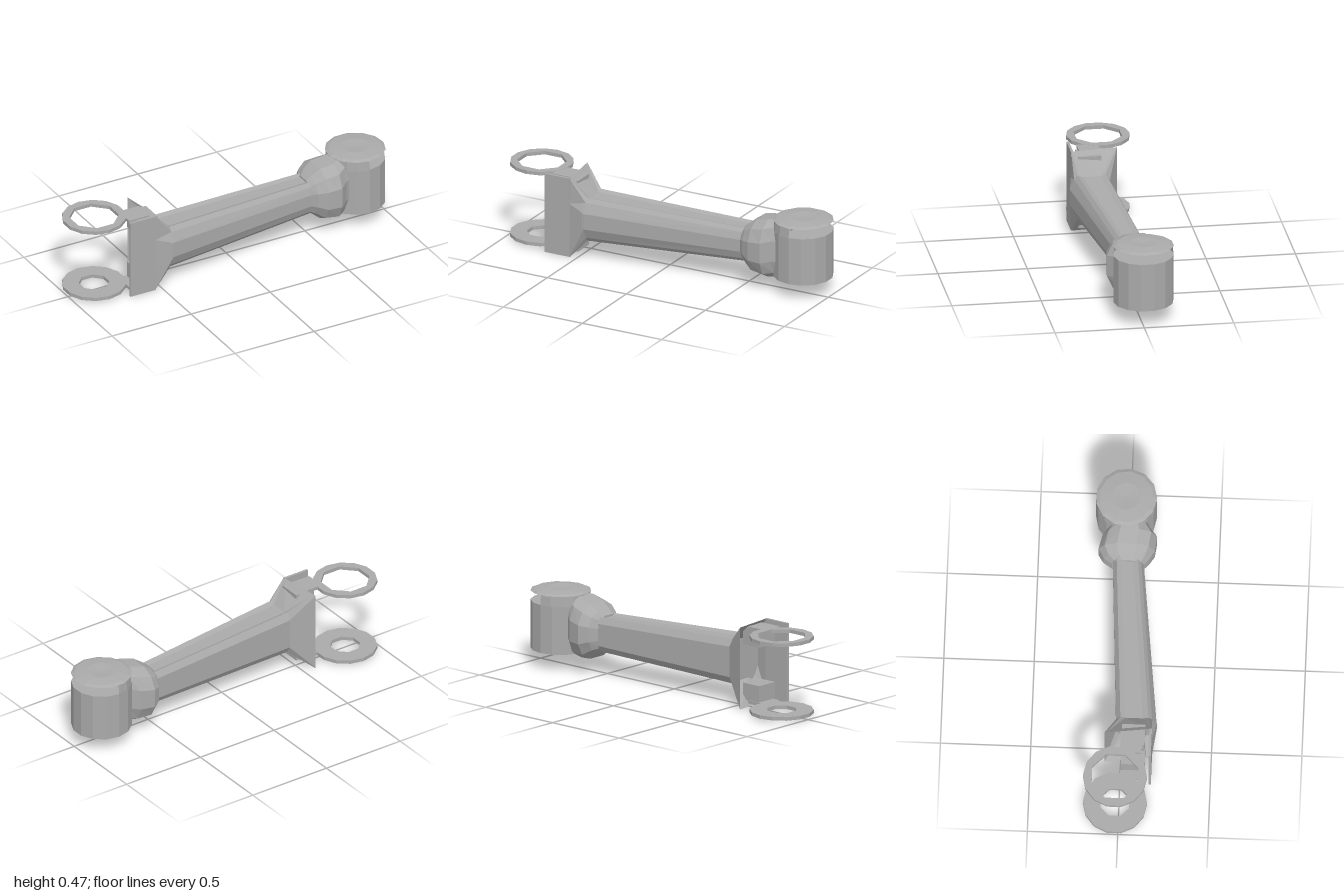
import * as THREE from 'three';

const steel = new THREE.MeshStandardMaterial({ color: 0xaaaaaa, side: THREE.DoubleSide, flatShading: true });
steel.name = 'steel grey';

function add(group, name, geometry, x = 0, y = 0, z = 0) {
  const mesh = new THREE.Mesh(geometry, steel);
  mesh.name = name;
  mesh.position.set(x, y, z);
  group.add(mesh);
  return mesh;
}

// Skin a list of sections; each section is a loop of [x, y, z] points.
function loft(sections, capStart, capEnd) {
  const n = sections[0].length, pos = sections.flat(2), index = [];
  for (let s = 0; s < sections.length - 1; s++) {
    for (let i = 0; i < n; i++) {
      const a = s * n + i, b = s * n + (i + 1) % n;
      index.push(a, b, a + n, b, b + n, a + n);
    }
  }
  const cap = (s, flip) => {
    const c = pos.length / 3;
    for (let k = 0; k < 3; k++) pos.push(sections[s].reduce((t, p) => t + p[k], 0) / n);
    for (let i = 0; i < n; i++) {
      const a = s * n + i, b = s * n + (i + 1) % n;
      index.push(...(flip ? [c, b, a] : [c, a, b]));
    }
  };
  if (capStart) cap(0, true);
  if (capEnd) cap(sections.length - 1, false);
  const g = new THREE.BufferGeometry();
  g.setAttribute('position', new THREE.Float32BufferAttribute(pos, 3));
  g.setIndex(index);
  const flat = g.toNonIndexed();
  flat.computeVertexNormals();
  return flat;
}

// Bevelled beam section with a shallow groove on top and underneath and a bowed front.
function beamSection(x, zBack, zFront, y0, y1, bevel, groove, bow) {
  const h = y1 - y0, half = [
    [zFront, y1 - h * 0.32], [zFront - bow, y1 - bevel * 0.6], [zFront - bow - bevel * 0.5, y1],
    [zFront - bow - bevel - 0.01, y1 - groove], [zBack + bevel + 0.01, y1 - groove],
    [zBack + bevel * 0.6, y1], [zBack, y1 - bevel],
  ];
  const lower = half.map(([z, y]) => [z, y0 + y1 - y]).reverse();
  return [...half, ...lower].map(([z, y]) => [x, y, z]).reverse();
}

// Oval section for the collar, squarer than an ellipse.
function ovalSection(x, zBack, zFront, y0, y1) {
  return Array.from({ length: 12 }, (_, i) => {
    const a = (i + 0.5) / 12 * Math.PI * 2, p = (v) => Math.sign(v) * Math.abs(v) ** 0.8;
    return [x, (y0 + y1) / 2 + p(Math.sin(a)) * (y1 - y0) / 2, (zBack + zFront) / 2 - p(Math.cos(a)) * (zFront - zBack) / 2];
  }).reverse();
}

function ringGeometry(outer, inner, thickness) {
  const loop = (r, n) => Array.from({ length: n }, (_, i) => {
    const a = (i + 0.5) / n * Math.PI * 2;
    return new THREE.Vector2(Math.cos(a) * r, Math.sin(a) * r);
  });
  const shape = new THREE.Shape(loop(outer, 14));
  shape.holes.push(new THREE.Path(loop(inner, 8).reverse()));
  return new THREE.ExtrudeGeometry(shape, { depth: thickness, bevelEnabled: false }).rotateX(-Math.PI / 2);
}

export function createModel() {
  const model = new THREE.Group();
  model.name = 'linkArm';

  // Tapered beam
  add(model, 'beam', loft([
    beamSection(-0.45, -0.03, 0.195, 0.115, 0.37, 0.04, 0.012, 0.025),
    beamSection(0.52, -0.085, 0.085, 0.145, 0.34, 0.035, 0.01, 0.015),
  ], true, true));

  // Hollow flared bracket, open toward the rings
  const mouth = beamSection(-0.55, -0.09, 0.172, 0.005, 0.473, 0.004, 0, 0.002)
    .map(([x, y, z]) => [x - (0.1 - z) * 0.12, y, z]);
  add(model, 'bracketFlare', loft([
    mouth,
    beamSection(-0.44, -0.03, 0.195, 0.115, 0.37, 0.04, 0.012, 0.025),
  ], false, false));
  add(model, 'bracketFrontPlate', new THREE.BoxGeometry(0.16, 0.466, 0.014), -0.62, 0.239, 0.165);

  // Upper and lower mounting rings with tabs and lugs
  for (const [side, y, inner, lugY] of [['upper', 0.44, 0.138, 0.4], ['lower', 0.018, 0.085, 0.08]]) {
    const mount = new THREE.Group();
    mount.name = side + 'Mount';
    add(mount, 'ring', ringGeometry(0.178, inner, 0.02), -0.823, y, -0.022);
    add(mount, 'tab', new THREE.BoxGeometry(0.13, 0.018, 0.12), -0.615, y + 0.01, 0.06);
    add(mount, 'lug', new THREE.BoxGeometry(0.12, 0.1, 0.13), -0.57, lugY, 0.07);
    model.add(mount);
  }

  // Bulging collar joining beam and head
  add(model, 'collar', loft([
    ovalSection(0.49, -0.09, 0.09, 0.14, 0.345),
    ovalSection(0.52, -0.14, 0.12, 0.125, 0.37),
    ovalSection(0.57, -0.17, 0.15, 0.085, 0.405),
    ovalSection(0.65, -0.15, 0.16, 0.075, 0.425),
    ovalSection(0.7, -0.11, 0.115, 0.08, 0.435),
    ovalSection(0.79, -0.09, 0.07, 0.09, 0.435),
  ], true, true));

  // Upright cylindrical head
  add(model, 'headBarrel', new THREE.CylinderGeometry(0.168, 0.168, 0.275, 14), 0.83, 0.2375, -0.021);

  // Web closing the inner half of the gap below the cap
  add(model, 'capWeb', new THREE.CylinderGeometry(0.163, 0.168, 0.06, 8, 1, false, Math.PI, Math.PI), 0.83, 0.402, -0.021);

  // Thin domed cap over the head
  const capProfile = [[0, 0.425], [0.14, 0.425], [0.17, 0.431], [0.15, 0.44], [0.08, 0.447], [0, 0.442]];
  add(model, 'headCap', new THREE.LatheGeometry(capProfile.map(([r, y]) => new THREE.Vector2(r, y)), 13), 0.83, 0, -0.021);

  return model;
}
